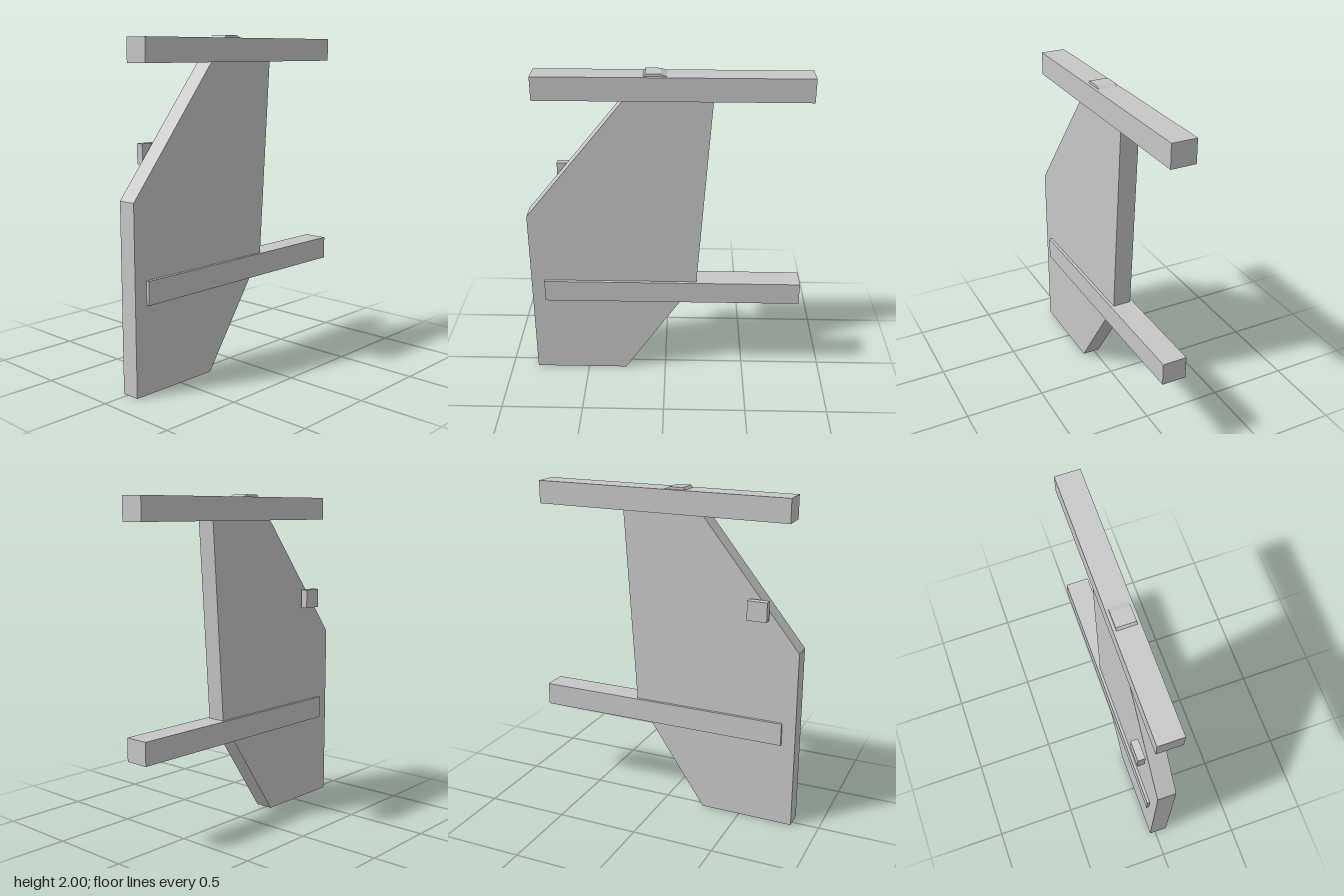
import * as THREE from 'three';

export function createModel() {
  const group = new THREE.Group();
  const grey = new THREE.MeshStandardMaterial({ color: 0xc7c7c7 });
  grey.name = 'lightGrey';

  function add(name, geometry, x = 0, y = 0, z = 0) {
    const mesh = new THREE.Mesh(geometry, grey);
    mesh.name = name;
    mesh.position.set(x, y, z);
    group.add(mesh);
  }

  // Swept panel whose peak pokes through the upper rail
  const outline = [
    [-0.835, 0], [-0.257, 0], [0.193, 0.66], [0.274, 1.875],
    [-0.025, 2], [-0.112, 2], [-0.835, 1.105],
  ].map(([x, y]) => new THREE.Vector2(x, y));
  add('panel', new THREE.ExtrudeGeometry(new THREE.Shape(outline), {
    depth: 0.113, bevelEnabled: false,
  }), 0, 0, -0.035);

  // Two matching horizontal rails
  const rail = new THREE.BoxGeometry(1.587, 0.139, 0.149);
  add('lowerRail', rail, 0.0405, 0.592, 0.0225);
  add('upperRail', rail, 0.0405, 1.916, 0.0225);

  // Small block behind the sloping edge
  add('rearBlock', new THREE.BoxGeometry(0.12, 0.117, 0.044), -0.593, 1.343, -0.075);

  return group;
}
